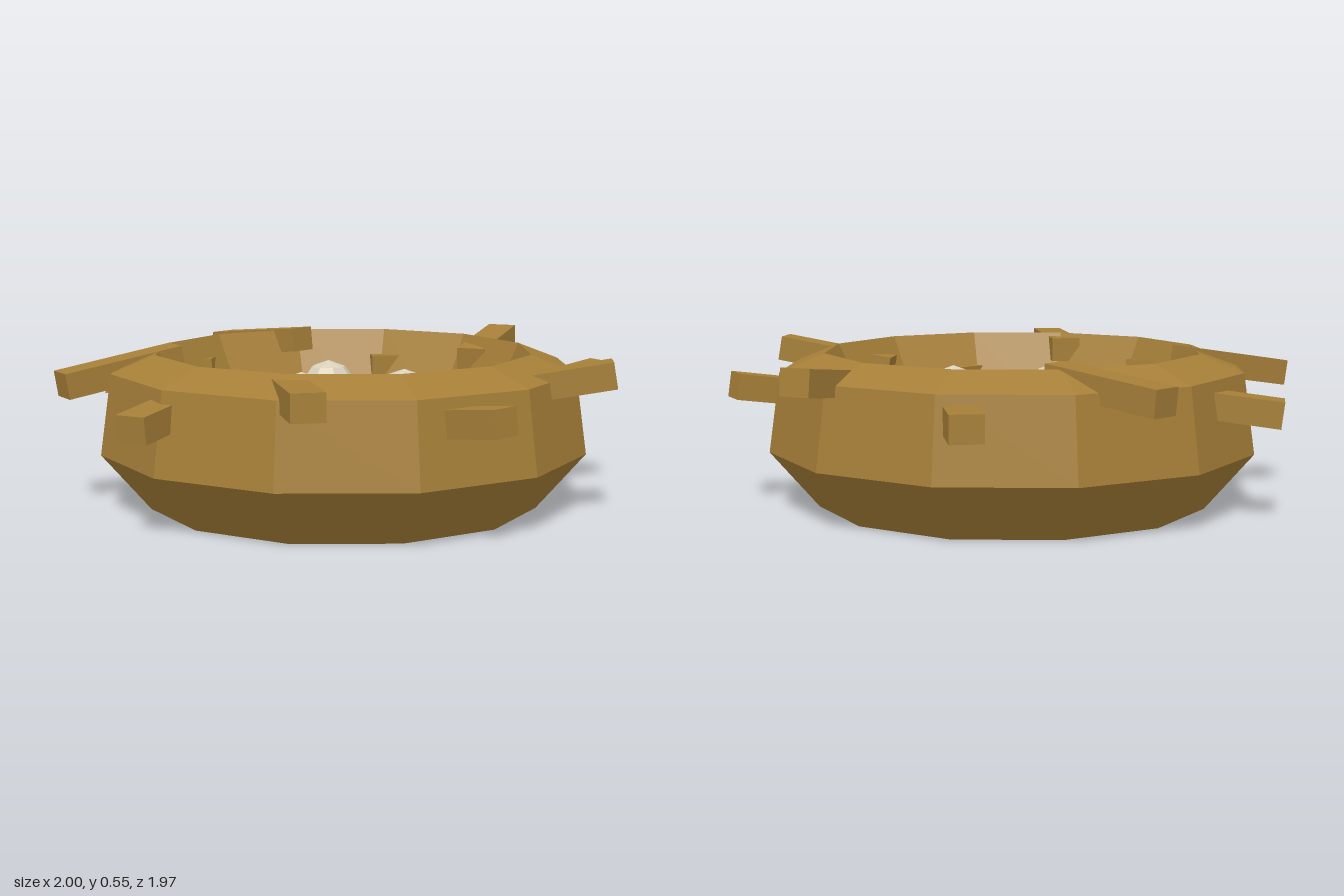
import * as THREE from 'three';

const straw = new THREE.MeshStandardMaterial({ color: 0xa67f38, flatShading: true });
straw.name = 'straw';
const eggshell = new THREE.MeshStandardMaterial({ color: 0xd9d0bb, flatShading: true });
eggshell.name = 'eggshell';

// Each stick: outer end x, y, z, then inner end x, y, z
const STICKS = [
  [-0.245, 0.465, -0.955, 0.0, 0.51, -0.585],
  [0.355, 0.4, -0.915, 0.315, 0.4, -0.49],
  [0.82, 0.505, -0.53, 0.56, 0.455, -0.2],
  [0.976, 0.43, 0.06, 0.56, 0.365, 0.165],
  [0.757, 0.505, 0.62, 0.365, 0.43, 0.46],
  [0.24, 0.42, 0.95, 0.03, 0.37, 0.58],
  [-0.363, 0.485, 0.91, -0.335, 0.48, 0.5],
  [-0.83, 0.375, 0.52, -0.54, 0.42, 0.21],
  [-0.985, 0.44, -0.06, -0.565, 0.51, -0.18],
  [-0.76, 0.37, -0.64, -0.37, 0.42, -0.475],
];

// Egg centres x, z
const EGGS = [[0, -0.2], [-0.175, 0.085], [0.195, 0.105]];

function addMesh(parent, geometry, material, name) {
  const mesh = new THREE.Mesh(geometry, material);
  mesh.name = name;
  parent.add(mesh);
  return mesh;
}

export function createModel() {
  const nest = new THREE.Group();
  nest.name = 'nest';

  // Twelve-sided bowl: underside, outer wall, rim, inner wall and floor
  const profile = [
    [0, 0], [0.695, 0], [0.865, 0.2], [0.825, 0.48], [0.67, 0.54], [0.52, 0.23], [0, 0.2],
  ].map(([r, y]) => new THREE.Vector2(r, y));
  addMesh(nest, new THREE.LatheGeometry(profile, 12), straw, 'bowl');

  // Sticks pushed through the wall
  const sticks = new THREE.Group();
  sticks.name = 'sticks';
  nest.add(sticks);
  STICKS.forEach(([ax, ay, az, bx, by, bz], i) => {
    const outer = new THREE.Vector3(ax, ay, az);
    const inner = new THREE.Vector3(bx, by, bz);
    const box = new THREE.BoxGeometry(0.108, 0.09, outer.distanceTo(inner));
    const stick = addMesh(sticks, box, straw, `stick${i + 1}`);
    stick.position.copy(outer).add(inner).multiplyScalar(0.5);
    stick.lookAt(outer);
  });

  // Faceted eggs resting in the floor
  const eggGeometry = new THREE.SphereGeometry(0.125, 8, 6).scale(1, 1.36, 1);
  EGGS.forEach(([x, z], i) => {
    addMesh(nest, eggGeometry, eggshell, `egg${i + 1}`).position.set(x, 0.305, z);
  });

  return nest;
}
